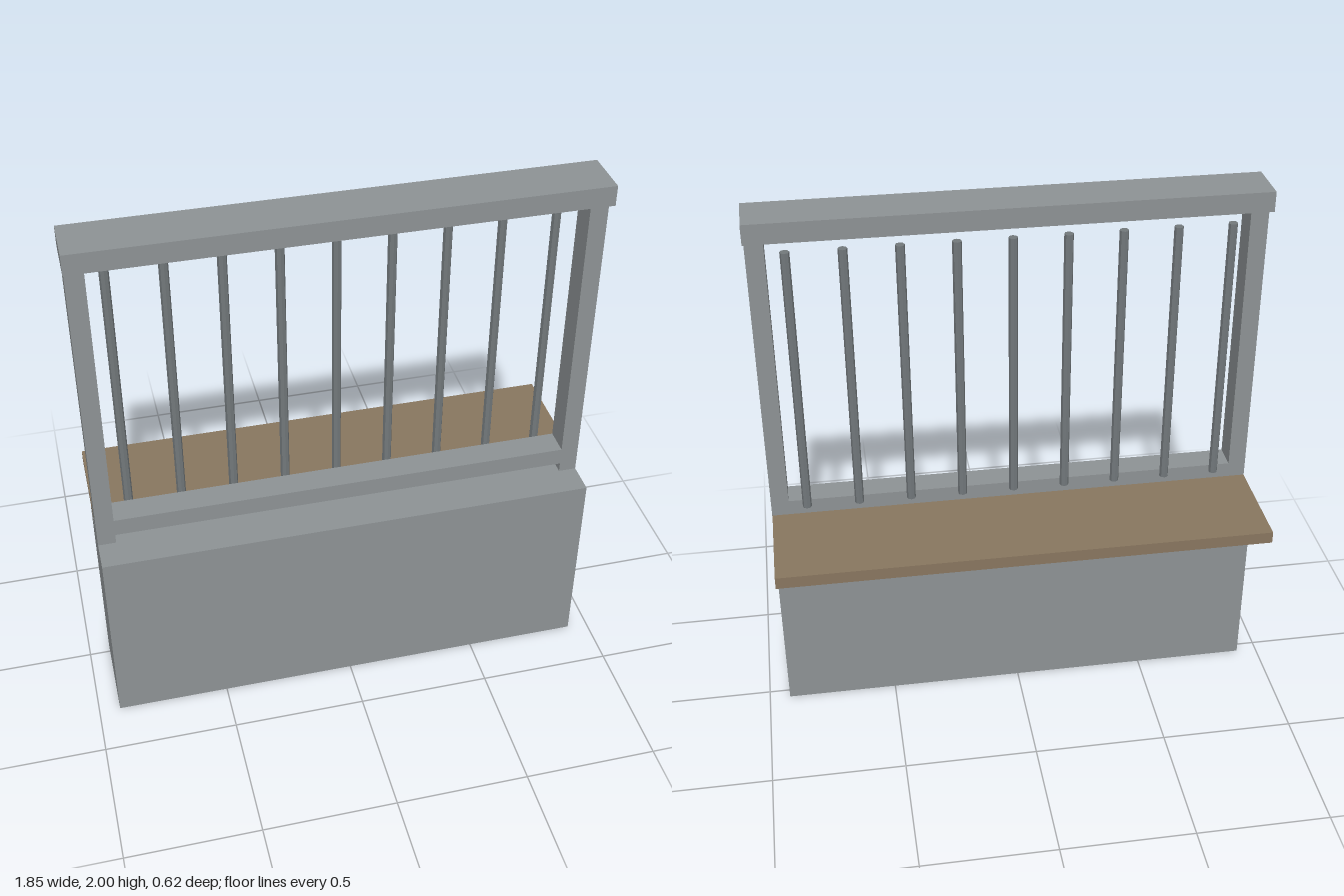
import * as THREE from 'three';

export function createModel() {
  const group = new THREE.Group();
  const material = (name, color) => {
    const m = new THREE.MeshStandardMaterial({ color });
    m.name = name;
    return m;
  };
  const stone = material('grey stone', 0x8d9294);
  const wood = material('brown wood', 0x88765f);
  const metal = material('dark grey metal', 0x72787b);
  metal.flatShading = true;

  // Box given by its lower and upper limits on each axis
  const box = (name, mat, [x0, x1], [y0, y1], [z0, z1]) => {
    const mesh = new THREE.Mesh(new THREE.BoxGeometry(x1 - x0, y1 - y0, z1 - z0), mat);
    mesh.position.set((x0 + x1) / 2, (y0 + y1) / 2, (z0 + z1) / 2);
    mesh.name = name;
    group.add(mesh);
  };

  // Wall and counter
  box('baseWall', stone, [-0.921, 0.921], [0, 0.747], [-0.04, 0.31]);
  box('counter', wood, [-0.92, 0.92], [0.747, 0.793], [-0.31, 0.088]);

  // Window frame
  box('rightPost', stone, [-0.921, -0.855], [0.747, 1.925], [0.088, 0.19]);
  box('leftPost', stone, [0.855, 0.921], [0.747, 1.925], [0.088, 0.19]);
  box('bottomRail', stone, [-0.855, 0.855], [0.784, 0.852], [0.088, 0.19]);
  box('lintel', stone, [-0.925, 0.925], [1.925, 2], [0.043, 0.231]);

  // Bars standing just behind the frame
  const barGeometry = new THREE.CylinderGeometry(0.017, 0.017, 1.045, 8);
  for (let i = -4; i <= 4; i++) {
    const bar = new THREE.Mesh(barGeometry, metal);
    bar.position.set(i * 0.1965, 1.3595, 0.068);
    bar.name = `bar${i + 5}`;
    group.add(bar);
  }
  return group;
}
